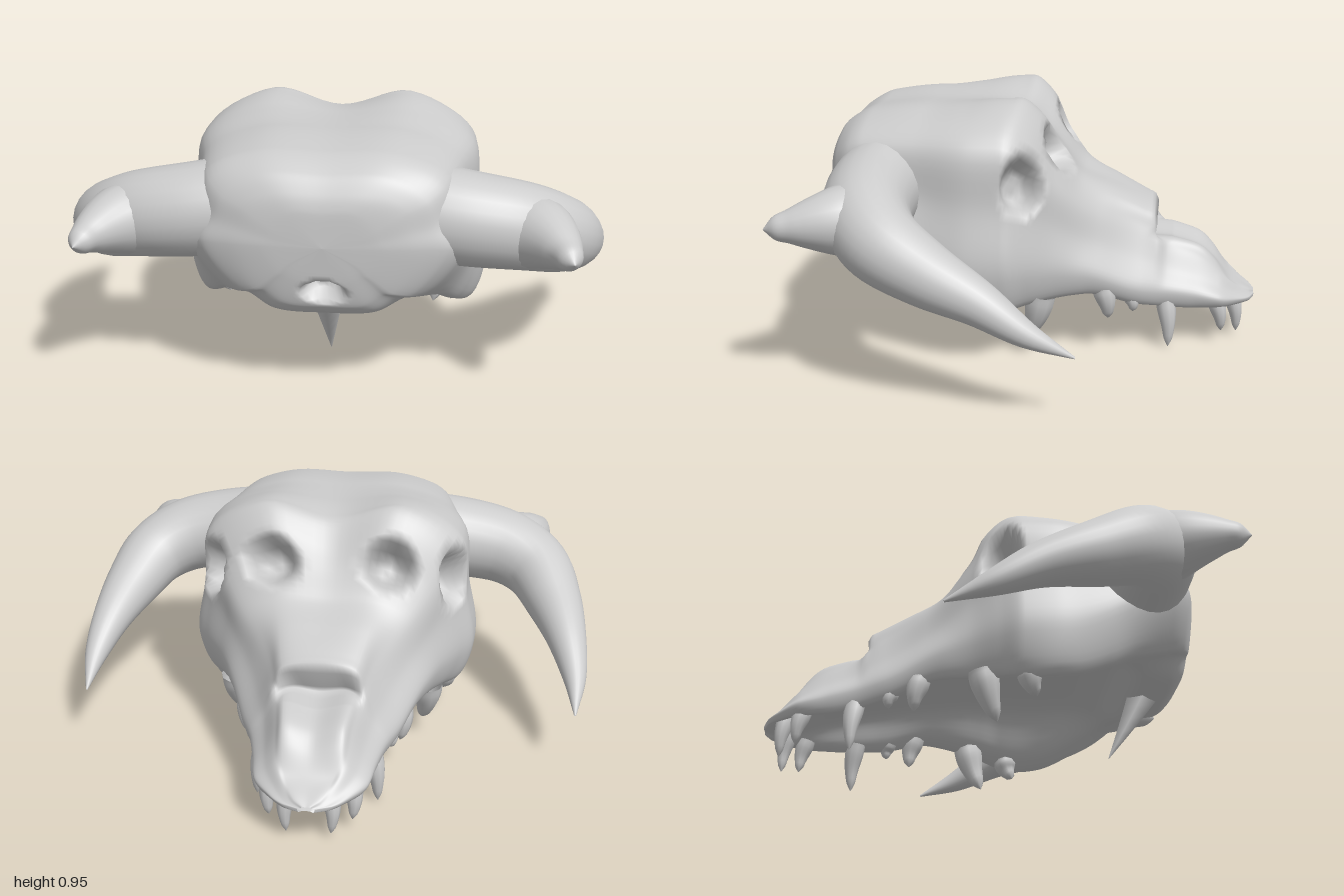
import * as THREE from 'three';
import { mergeVertices } from 'three/addons/utils/BufferGeometryUtils.js';

const V = (x, y, z) => new THREE.Vector3(x, y, z);
const material = new THREE.MeshStandardMaterial({ color: 0xcccccc, side: THREE.DoubleSide });

// Smooth, non-overshooting curve through [z, value] pairs
function profile(pairs) {
  const p = [...pairs].sort((a, b) => a[0] - b[0]);
  const n = p.length - 1;
  const slope = i => (p[i + 1][1] - p[i][1]) / (p[i + 1][0] - p[i][0]);
  const tangent = p.map((_, i) => {
    if (i === 0) return slope(0);
    if (i === n) return slope(n - 1);
    const a = slope(i - 1), b = slope(i);
    return a * b <= 0 ? 0 : 2 * a * b / (a + b);
  });
  return z => {
    let i = 0;
    while (i < n - 1 && z > p[i + 1][0]) i++;
    const h = p[i + 1][0] - p[i][0];
    const t = Math.min(1, Math.max(0, (z - p[i][0]) / h)), u = 1 - t;
    return u * u * (1 + 2 * t) * p[i][1] + t * t * (1 + 2 * u) * p[i + 1][1]
      + h * t * u * (u * tangent[i] - t * tangent[i + 1]);
  };
}

// Skull measurements along z, from the back of the head to the snout tip
const top = profile([[.775, .6], [.765, .72], [.74, .785], [.7, .835], [.6, .885], [.4, .905], [.2, .905], [.05, .89],
  [-.04, .81], [-.1, .735], [-.18, .64], [-.3, .59], [-.42, .54], [-.458, .52], [-.472, .41], [-.5, .385],
  [-.62, .345], [-.68, .3], [-.75, .225], [-.82, .18], [-.84, .165]]);
const bump = profile([[.775, 0], [.4, 0], [.25, .015], [.08, .05], [-.03, .07], [-.12, .02], [-.2, 0], [-.3, -.012],
  [-.45, -.025], [-.48, .015], [-.55, .025], [-.64, .025], [-.75, 0], [-.84, 0]]);
const width = profile([[.775, 0], [.768, .2], [.745, .33], [.71, .42], [.65, .47], [.4, .52], [.2, .56], [.08, .55],
  [0, .5], [-.1, .43], [-.2, .38], [-.3, .335], [-.4, .295], [-.5, .25], [-.6, .225], [-.7, .205], [-.78, .14],
  [-.82, .09], [-.84, .03]]);
const shoulder = profile([[.775, .8], [.6, .86], [.3, .88], [.1, .89], [0, .92], [-.1, .88], [-.25, .72], [-.4, .62],
  [-.84, .62]]);
const shoulderY = profile([[.775, .6], [.765, .67], [.74, .73], [.6, .81], [.1, .82], [0, .77], [-.1, .66], [-.2, .56],
  [-.4, .46], [-.46, .43], [-.5, .38], [-.62, .33], [-.7, .27], [-.8, .185], [-.84, .16]]);
const sideY = profile([[.775, .6], [.7, .58], [.5, .5], [.25, .38], [0, .36], [-.2, .33], [-.4, .25], [-.6, .21],
  [-.8, .165], [-.84, .157]]);
const rim = profile([[.775, .6], [.765, .5], [.74, .43], [.65, .39], [.5, .33], [.4, .27], [.25, .21], [.15, .2],
  [0, .22], [-.2, .24], [-.4, .18], [-.6, .15], [-.84, .145]]);
const rimX = profile([[.775, .7], [.6, .75], [.4, .87], [.2, .9], [0, .86], [-.2, .9], [-.84, .88]]);
const palate = profile([[.775, .6], [.765, .47], [.74, .37], [.68, .325], [.58, .33], [.45, .39], [.3, .42], [0, .4],
  [-.3, .33], [-.6, .24], [-.75, .18], [-.84, .15]]);

// Hollows: centre, outward direction, two radii, depth and reach
const hollows = [
  ...[1, -1].flatMap(s => [
    { c: V(.5 * s, .69, -.005), out: V(.85 * s, .25, -.45), rx: .095, ry: .115, depth: .12, reach: .2 },
    { c: V(.225 * s, .76, -.09), out: V(.12 * s, .5, -.85), rx: .11, ry: .1, depth: .13, reach: .2 },
  ]),
  { c: V(0, .42, -.475), out: V(0, 0, -1), rx: .19, ry: .06, depth: .06, reach: .04 },
  { c: V(0, .43, .76), out: V(0, -.3, 1), rx: .09, ry: .045, depth: .07, reach: .08 },
].map(h => {
  h.out.normalize();
  h.u = V(0, 1, 0).cross(h.out).normalize();
  h.v = h.out.clone().cross(h.u);
  return h;
});

function carve(p) {
  for (const h of hollows) {
    const d = p.clone().sub(h.c);
    if (Math.abs(d.dot(h.out)) > h.reach) continue;
    const q = Math.hypot(d.dot(h.u) / h.rx, d.dot(h.v) / h.ry);
    const push = h.depth * THREE.MathUtils.smoothstep(1 - q, 0, .6);
    p.addScaledVector(h.out, -push);
  }
  return p;
}

// Closed cross-section of the skull at z
function section(z) {
  const w = width(z), r = w * rimX(z), t = top(z), y = rim(z), pal = palate(z);
  const half = [
    [w * .49, t + bump(z)],
    [w * shoulder(z), shoulderY(z)],
    [w * (.45 + .55 * shoulder(z)), (shoulderY(z) + sideY(z)) / 2],
    [w, sideY(z)],
    [r, y],
    [r * .82, y + .15 * (pal - y)],
    [r * .56, y + .85 * (pal - y)],
  ];
  const points = [V(0, t, z), ...half.map(([a, b]) => V(a, b, z)), V(0, pal, z),
    ...half.reverse().map(([a, b]) => V(-a, b, z))];
  return new THREE.CatmullRomCurve3(points, true);
}

function skullGeometry() {
  const rings = 190, sides = 112, pos = [], index = [];
  for (let i = 0; i <= rings; i++) {
    const z = -.0325 + .8075 * Math.cos(Math.PI * i / rings);
    const curve = section(z);
    for (let j = 0; j < sides; j++) {
      pos.push(...carve(curve.getPoint(j / sides)).toArray());
      if (i === rings) continue;
      const a = i * sides + j, b = i * sides + (j + 1) % sides;
      index.push(a, b, a + sides, b, b + sides, a + sides);
    }
  }
  const g = new THREE.BufferGeometry();
  g.setAttribute('position', new THREE.Float32BufferAttribute(pos, 3));
  g.setIndex(index);
  g.computeVertexNormals();
  return g;
}

// Tube along points, its radius following the evenly spaced radii
function taper(points, radii, segments = 12, sides = 12) {
  const curve = new THREE.CatmullRomCurve3(points);
  const radius = profile(radii.map((r, i) => [i / (radii.length - 1), r]));
  let g = new THREE.TubeGeometry(curve, segments, 1, sides);
  const pos = g.attributes.position, v = V();
  for (let k = 0; k < pos.count; k++) {
    const u = Math.floor(k / (sides + 1)) / segments;
    const c = curve.getPointAt(u);
    v.fromBufferAttribute(pos, k).sub(c).multiplyScalar(radius(u)).add(c);
    pos.setXYZ(k, v.x, v.y, v.z);
  }
  g.deleteAttribute('uv');
  g.deleteAttribute('normal');
  g = mergeVertices(g, 1e-5);
  g.computeVertexNormals();
  return g;
}

export function createModel() {
  const model = new THREE.Group();
  const add = (name, geometry) => {
    const mesh = new THREE.Mesh(geometry, material);
    mesh.name = name;
    model.add(mesh);
  };

  add('skull', skullGeometry());

  // Tooth: root x, z, tip x, y, z, radius
  const teeth = [
    [.45, .11, .43, .145, .14, .045],
    [.385, -.05, .36, .07, .005, .055],
    [.295, -.27, .29, .13, -.29, .042],
    [.255, -.37, .26, .15, -.38, .03],
    [.205, -.5, .225, 0, -.515, .036],
    [.15, -.69, .15, .045, -.715, .034],
    [.08, -.755, .08, .02, -.775, .032],
  ];

  for (const [side, s] of [['left', 1], ['right', -1]]) {
    // Horn sweeping out and then forward along the snout, its root buried in the skull
    add(side + 'Horn', taper([V(.1 * s, .63, .47), V(.3 * s, .65, .52), V(.5 * s, .635, .545), V(.68 * s, .605, .52),
      V(.795 * s, .555, .445), V(.866 * s, .48, .29), V(.917 * s, .4, .1), V(.946 * s, .31, -.06), V(.945 * s, .235, -.22)],
    [.16, .176, .168, .156, .138, .112, .08, .047, .004], 54, 24));
    // Broad spur growing back from the bend of the horn
    add(side + 'HornSpur', taper([V(.64 * s, .6, .5), V(.735 * s, .61, .61), V(.795 * s, .608, .73), V(.828 * s, .6, .84)],
      [.12, .13, .13, .126, .117, .104, .089, .073, .056, .042, .002], 40, 20));
    teeth.forEach(([x, z, tx, ty, tz, r], i) => {
      const y = rim(z) + .025;
      add(side + 'Tooth' + (i + 1), taper([V(x * s, y, z), V((x + tx) / 2 * s + .006 * s, (y + ty) / 2, (z + tz) / 2 - .006),
        V(tx * s, ty, tz)], [r, r, r * .92, r * .78, r * .62, r * .45, .001], 12, 10));
    });
  }

  // Thin spike under the base of the skull
  add('baseSpike', taper([V(0, .39, .63), V(0, .235, .55), V(0, .08, .465)], [.065, .033, .001], 6, 4));
  return model;
}
